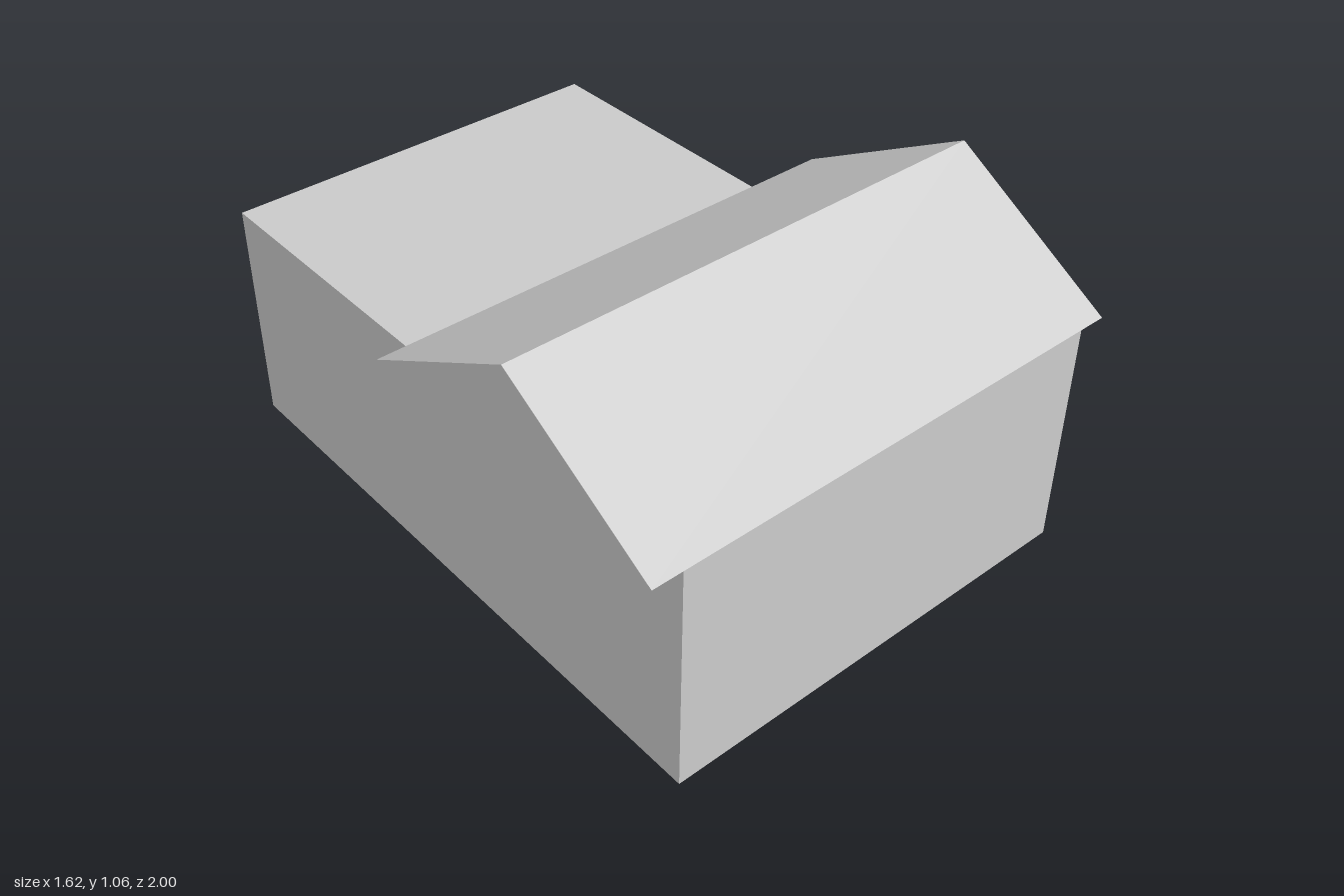
import * as THREE from 'three';

const plaster = new THREE.MeshStandardMaterial({ color: 0xcccccc, side: THREE.DoubleSide });
plaster.name = 'plaster';

const shapeOf = (pts) => new THREE.Shape(pts.map(([a, b]) => new THREE.Vector2(a, b)));

// Vertical wall faces following a plan path of [x, z] points
function wallStrip(path, y0, y1) {
  const pos = [];
  for (let i = 0; i < path.length - 1; i++) {
    const [ax, az] = path[i], [bx, bz] = path[i + 1];
    pos.push(ax, y0, az, bx, y0, bz, bx, y1, bz);
    pos.push(ax, y0, az, bx, y1, bz, ax, y1, az);
  }
  const geo = new THREE.BufferGeometry();
  geo.setAttribute('position', new THREE.Float32BufferAttribute(pos, 3));
  geo.computeVertexNormals();
  return geo;
}

// Horizontal plate from an [x, z] outline
const plate = (pts, y) => new THREE.ShapeGeometry(shapeOf(pts)).rotateX(Math.PI / 2).translate(0, y, 0);

// Upright plate from a [z, y] shape
const sidePlate = (shape, x) => new THREE.ShapeGeometry(shape).rotateY(-Math.PI / 2).translate(x, 0, 0);

export function createModel() {
  const group = new THREE.Group();
  group.name = 'garageHouse';
  const add = (name, geo) => {
    const mesh = new THREE.Mesh(geo, plaster);
    mesh.name = name;
    group.add(mesh);
  };

  const left = -0.715, right = 0.72, wingRight = 0.555, step = -0.12;
  const eave = 0.74, flatTop = 0.737, floorY = 0.015, ceilingY = 0.66;

  // Outer walls
  add('frontWall', wallStrip([[left, 1], [right, 1]], 0, eave));
  add('garageBackWall', wallStrip([[right, step], [wingRight, step]], 0, eave));
  add('wingWalls', wallStrip([[wingRight, step], [wingRight, -1], [left, -1]], 0, flatTop));

  // Gable side walls, one with the wide doorway
  const gableTop = [[1, eave], [0.91, eave], [0.46, 1.01], [-0.03, eave], [step, eave]];
  const doorWall = shapeOf([[1, 0], ...gableTop, [step, 0]]);
  doorWall.holes.push(new THREE.Path([
    [0.875, floorY], [0.01, floorY], [0.01, ceilingY], [0.875, ceilingY],
  ].map(([z, y]) => new THREE.Vector2(z, y))));
  add('doorwayWall', sidePlate(doorWall, right));
  add('longSideWall', sidePlate(
    shapeOf([[1, 0], ...gableTop, [step, flatTop], [-1, flatTop], [-1, 0]]), left));

  // Interior: two rooms joined by a gap in the partition, splayed beside the doorway
  const rooms = [
    [right, 0.875], [0.59, 0.875], [0.51, 0.93], [-0.645, 0.93],
    [-0.645, -0.05], [-0.56, -0.05], [-0.56, -0.12], [-0.645, -0.12],
    [-0.645, -0.93], [0.485, -0.93], [0.485, -0.12],
    [-0.2, -0.12], [-0.2, -0.05], [0.51, -0.05], [0.59, 0.01], [right, 0.01],
  ];
  add('innerWalls', wallStrip(rooms, floorY, ceilingY));
  add('floor', plate(rooms, floorY));
  add('ceiling', plate(rooms, ceilingY));

  // Flat roof of the rear wing
  add('flatRoof', plate([[left, -1], [wingRight, -1], [wingRight, step], [left, step]], flatTop));

  // Overhanging gable roof
  const roof = shapeOf([[1, eave], [0.46, 1.06], [step, eave], [-0.03, eave], [0.46, 1.01], [0.91, eave]]);
  add('gableRoof', new THREE.ExtrudeGeometry(roof, { depth: 1.62, bevelEnabled: false })
    .rotateY(-Math.PI / 2).translate(0.81, 0, 0));

  return group;
}
